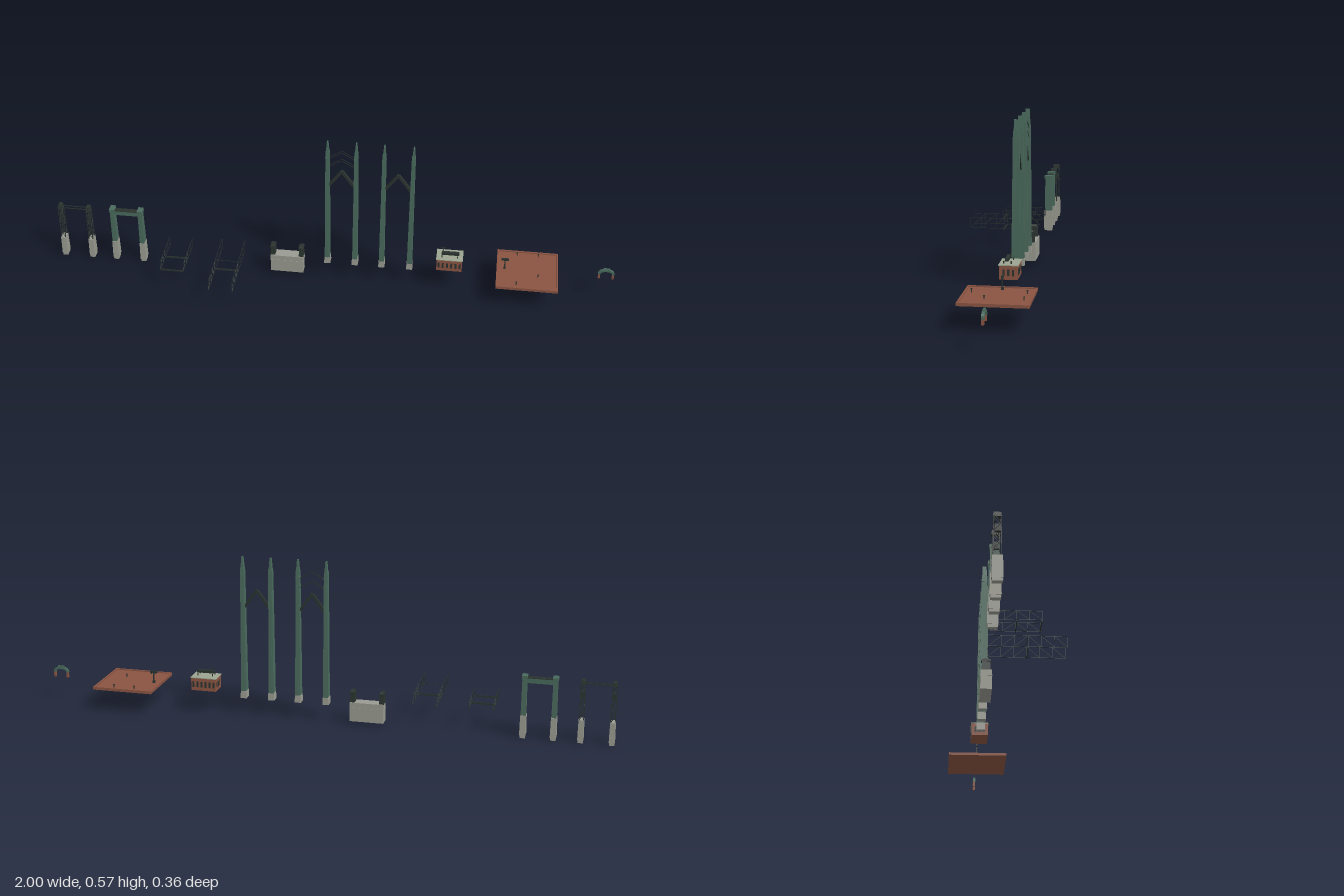
import * as THREE from 'three';

const mat = (c) => new THREE.MeshStandardMaterial({ color: c, side: THREE.DoubleSide });
const GREEN = mat(0x4a6a5c), BRICK = mat(0x8a5442), STONE = mat(0x999a90),
  DARK = mat(0x2a332f), ROOF = mat(0x9ca590);
const Z = -0.07; // common centre line of the row

export function createModel() {
  const root = new THREE.Group();
  let parent = root;

  const group = (name) => {
    parent = new THREE.Group();
    parent.name = name;
    root.add(parent);
  };
  const add = (name, geo, m, x = 0, y = 0, z = 0) => {
    const mesh = new THREE.Mesh(geo, m);
    mesh.name = name;
    mesh.position.set(x, y, z);
    parent.add(mesh);
    return mesh;
  };
  // Box standing on y0, narrowing to w1 x d1 at y1
  const block = (name, m, x, z, y0, y1, w, d, w1 = w, d1 = d) => {
    const g = new THREE.BoxGeometry(1, 1, 1), p = g.attributes.position;
    for (let i = 0; i < p.count; i++) {
      const top = p.getY(i) > 0;
      p.setXYZ(i, p.getX(i) * (top ? w1 : w), p.getY(i) * (y1 - y0), p.getZ(i) * (top ? d1 : d));
    }
    g.computeVertexNormals();
    return add(name, g, m, x, (y0 + y1) / 2, z);
  };
  // Square bar between two points
  const bar = (name, m, a, b, t, depth = t) => {
    const A = new THREE.Vector3(...a), B = new THREE.Vector3(...b);
    const mesh = add(name, new THREE.BoxGeometry(t, depth, A.distanceTo(B)), m);
    mesh.position.copy(A).add(B).multiplyScalar(0.5);
    mesh.lookAt(B);
    return mesh;
  };

  // Lattice portal: stone piers, open steel legs, twin top rails
  group('latticePortal');
  for (const x of [-0.99, -0.887]) {
    block('pierFoot', STONE, x, Z, 0, 0.01, 0.018, 0.03);
    block('pier', STONE, x, Z, 0.01, 0.08, 0.02, 0.034, 0.018, 0.031);
    const levels = [0.08, 0.106, 0.132, 0.158, 0.184, 0.21];
    for (const sx of [-1, 1]) for (const sz of [-1, 1])
      bar('legPost', DARK, [x + sx * 0.007, 0.08, Z + sz * 0.012], [x + sx * 0.007, 0.21, Z + sz * 0.01], 0.0022);
    for (let i = 0; i < 5; i++) {
      const [a, b] = [levels[i], levels[i + 1]], s = i % 2 ? 1 : -1;
      for (const k of [-1, 1]) {
        bar('lacing', DARK, [x - s * 0.007, a, Z + k * 0.011], [x + s * 0.007, b, Z + k * 0.011], 0.0014);
        bar('lacing', DARK, [x + k * 0.007, a, Z - s * 0.011], [x + k * 0.007, b, Z + s * 0.011], 0.0014);
        bar('legTie', DARK, [x - 0.007, b, Z + k * 0.011], [x + 0.007, b, Z + k * 0.011], 0.0014);
      }
    }
    block('counterweight', DARK, x, Z, 0.158, 0.18, 0.01, 0.016);
    block('legCap', DARK, x, Z, 0.204, 0.218, 0.015, 0.026, 0.012, 0.022);
  }
  for (const s of [-1, 1])
    bar('topRail', DARK, [-0.99, 0.207, Z + s * 0.007], [-0.887, 0.207, Z + s * 0.007], 0.0025);

  // Plated portal: stone piers, solid steel legs, box beam
  group('platedPortal');
  for (const x of [-0.797, -0.695]) {
    block('pierFoot', STONE, x, Z, 0, 0.01, 0.018, 0.03);
    block('pier', STONE, x, Z, 0.01, 0.08, 0.021, 0.034, 0.019, 0.031);
    block('leg', GREEN, x, Z, 0.08, 0.212, 0.017, 0.028, 0.015, 0.025);
    block('legCap', GREEN, x, Z, 0.208, 0.22, 0.019, 0.03);
  }
  block('beam', GREEN, -0.746, Z, 0.194, 0.211, 0.09, 0.016);
  block('beamFlange', DARK, -0.746, Z, 0.211, 0.213, 0.09, 0.019);

  // Deck trusses: two side frames with diagonals leaning to midspan
  const truss = (name, x0, x1, z0, z1, top, panels, crossings, topTies) => {
    group(name);
    const y = 0.08, t = 0.0013, step = (z1 - z0) / panels;
    for (const x of [x0, x1]) {
      bar('bottomChord', DARK, [x, y, z0], [x, y, z1], t);
      bar('topChord', DARK, [x, top, z0], [x, top, z1], t);
      for (let i = 0; i <= panels; i++) {
        const z = z0 + i * step;
        bar('truss post', DARK, [x, y, z], [x, top, z], t);
        if (i === panels) continue;
        const up = i < panels / 2;
        bar('diagonal', DARK, [x, up ? y : top, z], [x, up ? top : y, z + step], t);
      }
    }
    for (const z of crossings)
      block('crossBeam', DARK, (x0 + x1) / 2, z, 0.075, 0.081, x1 - x0, 0.0025);
    for (const z of topTies)
      bar('topTie', DARK, [x0, top, z], [x1, top, z], t);
  };
  truss('shortDeckTruss', -0.593, -0.51, Z, 0.086, 0.11, 4, [0.008, 0.084], []);
  truss('longDeckTruss', -0.4, -0.317, Z, 0.18, 0.118, 6, [0.055], [0.055]);

  // Anchorage block with two capped posts
  group('anchorage');
  block('anchorBody', STONE, -0.161, Z, 0.01, 0.078, 0.118, 0.038);
  block('anchorLedge', STONE, -0.161, Z, 0.056, 0.06, 0.12, 0.04);
  for (const x of [-0.212, -0.11]) {
    block('anchorPost', DARK, x, Z, 0.078, 0.112, 0.017, 0.03, 0.014, 0.026);
    block('anchorCap', DARK, x, Z, 0.108, 0.115, 0.018, 0.032);
    block('anchorFinial', DARK, x, Z, 0.115, 0.121, 0.012, 0.022, 0.006, 0.016);
  }

  // Tall tower pairs with chevron bracing
  const towerPair = (name, xs, thinChevrons) => {
    group(name);
    const mid = (xs[0] + xs[1]) / 2;
    for (const x of xs) {
      block('towerBase', STONE, x, Z, 0.06, 0.086, 0.022, 0.031, 0.02, 0.03);
      block('towerShaft', GREEN, x, Z, 0.086, 0.51, 0.018, 0.029, 0.013, 0.02);
      for (const s of [-1, 1])
        bar('shaftRib', GREEN, [x, 0.086, Z + s * 0.0145], [x, 0.51, Z + s * 0.01], 0.008, 0.002);
      block('towerShoulder', GREEN, x, Z, 0.505, 0.53, 0.014, 0.021, 0.012, 0.018);
      block('towerCrown', GREEN, x, Z, 0.53, 0.567, 0.01, 0.016, 0.004, 0.014);
    }
    const chevron = (part, y, rise, t, d, dz) => {
      for (const s of [-1, 1])
        bar(part, DARK, [mid + s * (mid - xs[0] - 0.006), y, Z + dz], [mid, y + rise, Z + dz], d, t);
    };
    chevron('mainChevron', 0.39, 0.06, 0.009, 0.011, 0);
    for (const y of thinChevrons)
      for (const dz of [-0.006, 0.006]) chevron('thinChevron', y, 0.026, 0.0015, 0.0015, dz);
  };
  towerPair('bracedTowers', [-0.015, 0.084], [0.47, 0.502]);
  towerPair('plainTowers', [0.18, 0.28], []);

  // Machine house: brick walls with pilasters, parapet roof, hoist on top
  group('machineHouse');
  const hx = 0.422;
  block('walls', BRICK, hx, Z, 0.08, 0.125, 0.09, 0.06);
  block('roof', ROOF, hx, Z, 0.125, 0.128, 0.094, 0.064);
  for (let i = 0; i < 6; i++)
    for (const s of [-1, 1])
      block('window', DARK, hx - 0.0375 + i * 0.015, Z + s * 0.03, 0.092, 0.113, 0.007, 0.001);
  for (const s of [-1, 1])
    for (const dz of [-0.015, 0, 0.015])
      block('window', DARK, hx + s * 0.045, Z + dz, 0.092, 0.113, 0.001, 0.007);
  for (const sx of [-1, 1]) for (const sz of [-0.012, 0.012])
    block('hoistLeg', DARK, hx + sx * 0.027, Z + 0.005 + sz, 0.128, 0.137, 0.003, 0.003);
  block('hoistBody', DARK, hx + 0.002, Z + 0.007, 0.136, 0.146, 0.062, 0.011);
  bar('hoistMast', DARK, [0.398, 0.14, Z], [0.398, 0.162, Z], 0.002);
  bar('hoistArm', DARK, [0.386, 0.157, Z], [0.404, 0.157, Z], 0.002);

  // Brick yard: shallow tray with rim, stub posts and a signal
  group('brickYard');
  const yx = 0.697, w = 0.216, d = 0.218;
  block('yardFloor', BRICK, yx, Z, 0.08, 0.086, w, d);
  for (const s of [-1, 1]) {
    block('rim', BRICK, yx, Z + s * (d / 2 - 0.003), 0.08, 0.09, w, 0.006);
    block('rim', BRICK, yx + s * (w / 2 - 0.003), Z, 0.08, 0.09, 0.006, d);
  }
  for (const [x, z] of [[0.66, -0.155], [0.735, -0.155], [0.735, -0.035], [0.66, 0.016]]) {
    block('stubPost', DARK, x, z, 0.086, 0.097, 0.0025, 0.0025);
    block('stubCap', DARK, x, z, 0.095, 0.098, 0.005, 0.005);
  }
  block('signalPost', DARK, 0.617, -0.073, 0.086, 0.13, 0.004, 0.004);
  block('signalFoot', DARK, 0.617, -0.073, 0.086, 0.094, 0.008, 0.008);
  block('signalArm', DARK, 0.617, -0.073, 0.122, 0.13, 0.026, 0.006);

  // Small gateway arch on brick legs
  group('gateway');
  const ax = 0.972, r = 0.028;
  const arch = new THREE.Shape();
  arch.moveTo(-r, 0);
  arch.bezierCurveTo(-r, 0.024, r, 0.024, r, 0);
  arch.lineTo(r - 0.008, 0);
  arch.bezierCurveTo(r - 0.008, 0.013, 0.008 - r, 0.013, 0.008 - r, 0);
  arch.closePath();
  add('arch', new THREE.ExtrudeGeometry(arch, { depth: 0.009, bevelEnabled: false, curveSegments: 10 }),
    GREEN, ax, 0.1, Z - 0.0065);
  block('archCrest', GREEN, ax, Z - 0.002, 0.115, 0.121, 0.022, 0.007);
  for (const s of [-1, 1]) {
    block('archLeg', BRICK, ax + s * (r - 0.004), Z - 0.002, 0.08, 0.1, 0.007, 0.008);
    block('archLegCap', GREEN, ax + s * (r - 0.004), Z - 0.002, 0.098, 0.102, 0.008, 0.01);
  }
  return root;
}
